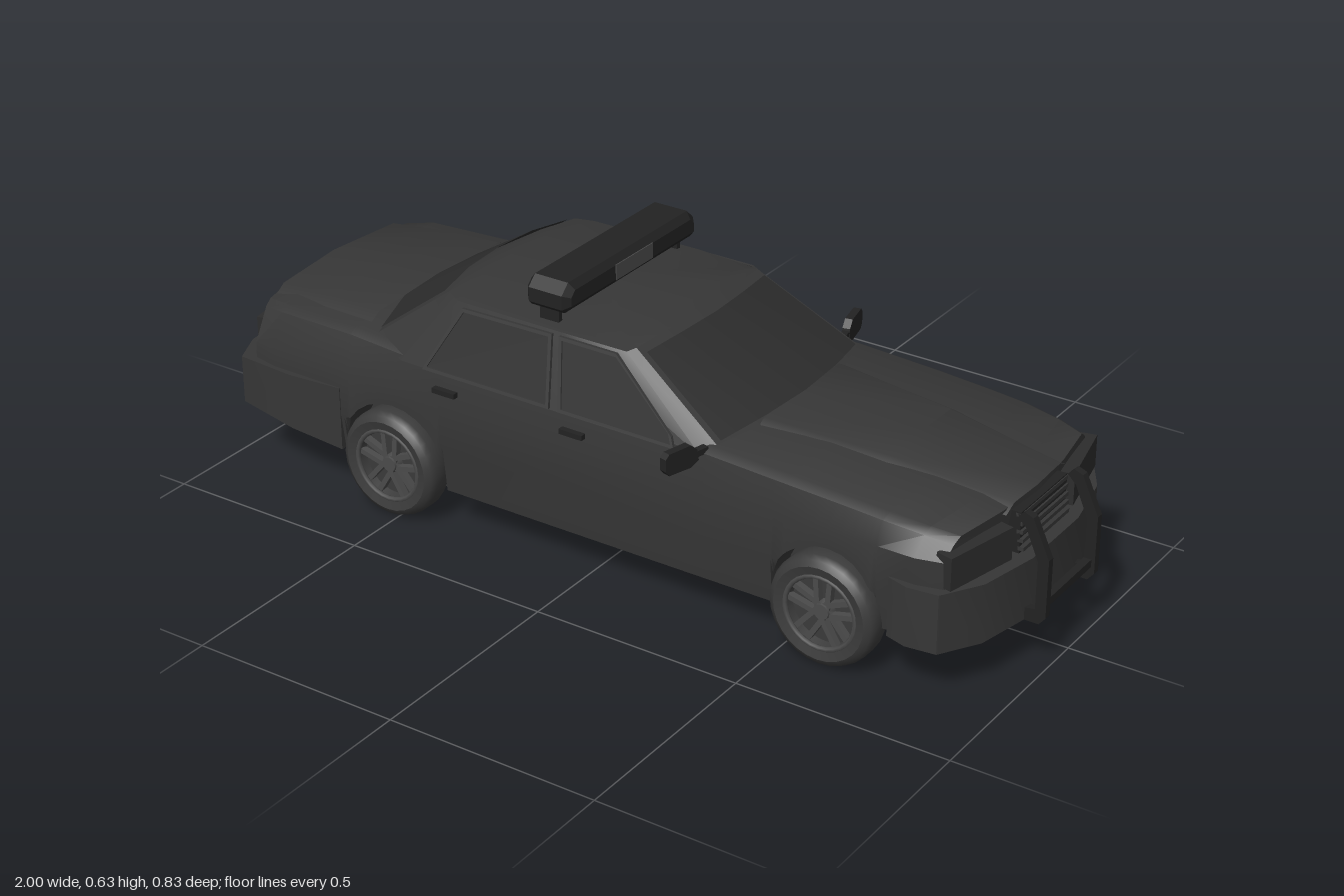
import * as THREE from 'three';
import { toCreasedNormals } from 'three/addons/utils/BufferGeometryUtils.js';

const mat = (color) => new THREE.MeshStandardMaterial({ color, side: THREE.DoubleSide });
const paint = mat(0x363636), glass = mat(0x2c2c2c), trim = mat(0x222222), rubber = mat(0x3a3a3a), metal = mat(0x4a4a4a);
const WHEEL_Y = 0.127, WHEEL_X = [-0.52, 0.605], ARCH = 0.14;

function add(parent, name, geo, material, x = 0, y = 0, z = 0) {
  const mesh = new THREE.Mesh(geo, material);
  mesh.name = name;
  mesh.position.set(x, y, z);
  parent.add(mesh);
  return mesh;
}
const box = (w, h, d) => new THREE.BoxGeometry(w, h, d);

// Surface through rows of [x, y, z] points; closed joins each row's ends
function loft(rows, closed = true, crease = 0.5) {
  const n = rows[0].length, index = [];
  for (let r = 0; r + 1 < rows.length; r++) {
    for (let i = 0; i < (closed ? n : n - 1); i++) {
      const j = (i + 1) % n, a = r * n + i, b = r * n + j;
      index.push(a, b, a + n, b, b + n, a + n);
    }
  }
  const geo = new THREE.BufferGeometry();
  geo.setAttribute('position', new THREE.Float32BufferAttribute(rows.flat(2), 3));
  geo.setIndex(index);
  return toCreasedNormals(geo, crease);
}
// Full ring from a half outline that starts and ends on z = 0
const ring = (half, s) => [
  ...half.map(([x, y, z]) => [x, y, z * s]),
  ...half.slice(1, -1).reverse().map(([x, y, z]) => [x, y, -z * s]),
];
const polygon = (pts) => new THREE.Shape(pts.map(([x, y]) => new THREE.Vector2(x, y)));

// Body stations: x, centre height, shoulder height, shoulder z, side z, floor height
const STATIONS = [
  [-0.965, 0.405, 0.38, 0.27, 0.315, 0.17], [-0.9, 0.415, 0.39, 0.29, 0.328, 0.155],
  [-0.65, 0.425, 0.395, 0.3, 0.33, 0.115], [-0.4, 0.41, 0.385, 0.31, 0.325, 0.09],
  [0.3, 0.41, 0.385, 0.31, 0.325, 0.09], [0.5, 0.405, 0.375, 0.31, 0.325, 0.09],
  [0.75, 0.385, 0.36, 0.305, 0.325, 0.115], [0.86, 0.372, 0.35, 0.295, 0.325, 0.12],
  [0.92, 0.36, 0.34, 0.28, 0.31, 0.125],
];
function station(x) {
  let i = 0;
  while (i < STATIONS.length - 2 && x > STATIONS[i + 1][0]) i++;
  const a = STATIONS[i], b = STATIONS[i + 1], t = (x - a[0]) / (b[0] - a[0]);
  return a.map((v, k) => v + (b[k] - v) * t);
}
// Rounds nose and tail in plan and leans them inwards at the top
function bow([x, y, z]) {
  const f = THREE.MathUtils.smoothstep(x, 0.6, 0.92), r = THREE.MathUtils.smoothstep(-x, 0.65, 0.965);
  const q = (z / 0.33) ** 2, lean = Math.max(0, y - 0.25);
  return [x - f * (0.055 * q + 0.12 * lean) + r * (0.045 * q + 0.1 * lean), y, z];
}
function bodyRow(x) {
  const [, yc, ys, zs, zb, floor] = station(x);
  let low = floor;
  for (const c of WHEEL_X) {
    if (Math.abs(x - c) < 0.1365) low = WHEEL_Y + Math.sqrt(ARCH ** 2 - (x - c) ** 2);
  }
  const half = [[0, yc], [0.13, yc - 0.003], [zs * 0.93, ys + 0.012], [zs, ys], [zb, 0.31],
    [zb, Math.max(0.2, low)], [zb - 0.012, low], [0.25, low], [0.25, floor], [0, floor]];
  return ring(half.map(([z, y]) => bow([x, y, z])), 1);
}
function body(g) {
  const xs = STATIONS.map((s) => s[0]);
  for (const c of WHEEL_X) {
    xs.push(c - 0.138, c + 0.138);
    for (let k = 0; k <= 12; k++) xs.push(c - 0.136 * Math.cos((k * Math.PI) / 12));
  }
  const rows = xs.sort((a, b) => a - b).map(bodyRow);
  const cap = (row) => row.map(() => [row[0][0], 0.27, 0]);
  add(g, 'body', loft([cap(rows[0]), ...rows, cap(rows.at(-1))]), paint);

  // Raised hood centre and boot lid
  const panel = (x0, x1, w0, w1, h) => loft([0, 0.5, 1].map((t) => {
    const x = x0 + (x1 - x0) * t, w = w0 + (w1 - w0) * t, y = station(x)[1];
    return [[-w - 0.03, -0.012], [-w, h], [0, h + 0.003], [w, h], [w + 0.03, -0.012]]
      .map(([z, dy]) => bow([x, y + dy, z]));
  }), false);
  add(g, 'hoodPanel', panel(0.34, 0.925, 0.15, 0.1, 0.005), paint);
  add(g, 'bootLid', panel(-0.96, -0.63, 0.2, 0.22, 0.004), paint);
}

// Bumper: plan outline extruded upwards, underside following a slope
function bumper(g, name, half, top, bottomAt) {
  const pts = [...half, ...half.slice().reverse().map(([x, z]) => [x, -z])];
  const geo = new THREE.ExtrudeGeometry(polygon(pts), { depth: 1, bevelEnabled: false }).rotateX(-Math.PI / 2);
  const p = geo.attributes.position;
  for (let i = 0; i < p.count; i++) p.setY(i, p.getY(i) > 0.5 ? top : bottomAt(p.getX(i)));
  add(g, name, toCreasedNormals(geo, 0.6), paint);
}

const CABIN_BASE = [[0.36, 0.405, 0], [0.35, 0.403, 0.15], [0.32, 0.39, 0.285], [0.29, 0.375, 0.312], [-0.1, 0.375, 0.314],
  [-0.5, 0.378, 0.312], [-0.6, 0.4, 0.275], [-0.635, 0.42, 0.14], [-0.64, 0.423, 0]];
const ROOF_EDGE = [[0.1, 0.549, 0], [0.092, 0.546, 0.12], [0.075, 0.537, 0.235], [0.06, 0.53, 0.25], [-0.1, 0.533, 0.257],
  [-0.38, 0.532, 0.255], [-0.42, 0.536, 0.235], [-0.435, 0.546, 0.12], [-0.44, 0.549, 0]];
const sideZ = (y) => 0.314 - (y - 0.375) * 0.363;

function cabin(g) {
  const inner = ROOF_EDGE.map(([x, y, z]) => [-0.17 + (x + 0.17) * 0.86, y + 0.006, z * 0.88]);
  const centre = inner.map(() => [-0.17, 0.557, 0]);
  add(g, 'cabin', loft([CABIN_BASE, ROOF_EDGE, inner, centre].map((h) => ring(h, -1))), paint);

  // Windscreen and rear window lie just proud of the cabin shell
  for (const [name, ids, push] of [['windscreen', [0, 1, 2], 0.005], ['rearWindow', [8, 7, 6], -0.005]]) {
    const rows = [0.06, 0.93].map((t) => {
      const half = ids.map((i) => CABIN_BASE[i].map((v, k) => v + (ROOF_EDGE[i][k] - v) * t))
        .map(([x, y, z]) => [x + push, y + 0.004, z * 0.96]);
      return [...half.slice(1).reverse().map(([x, y, z]) => [x, y, -z]), ...half];
    });
    if (push > 0) rows.reverse();
    add(g, name, loft(rows, false, 0.8), glass);
  }

  // Side windows with raised frames
  const windows = {
    frontDoorWindow: [[-0.065, 0.385], [0.215, 0.385], [0.205, 0.405], [0.045, 0.52], [-0.095, 0.52]],
    rearDoorWindow: [[-0.425, 0.385], [-0.105, 0.385], [-0.13, 0.52], [-0.355, 0.517]],
  };
  for (const [name, pts] of Object.entries(windows)) {
    const cx = pts.reduce((s, p) => s + p[0], 0) / pts.length;
    const frame = polygon(pts.map(([x, y]) => [cx + (x - cx) * 1.06, 0.452 + (y - 0.452) * 1.1]));
    frame.holes.push(polygon(pts));
    for (const [part, shape, depth, m] of [[name, polygon(pts), 0.003, glass], [name + 'Frame', frame, 0.007, paint]]) {
      const geo = new THREE.ExtrudeGeometry(shape, { depth, bevelEnabled: false });
      const p = geo.attributes.position;
      for (let i = 0; i < p.count; i++) p.setZ(i, p.getZ(i) + sideZ(p.getY(i)));
      geo.computeVertexNormals();
      for (const s of [1, -1]) add(g, part, geo, m).scale.z = s;
    }
  }
}

function wheel(g, x, z) {
  const w = new THREE.Group();
  w.name = 'wheel';
  w.position.set(x, WHEEL_Y, z);
  if (z < 0) w.rotation.y = Math.PI;
  const profile = [[0, -0.03], [0.08, -0.03], [0.088, -0.036], [0.108, -0.041], [0.121, -0.033], [0.127, -0.018],
    [0.127, 0.018], [0.121, 0.033], [0.108, 0.041], [0.088, 0.036], [0.08, 0.008], [0, 0.008]];
  const tyre = new THREE.LatheGeometry(profile.map(([r, y]) => new THREE.Vector2(r, y)), 28).rotateX(Math.PI / 2);
  add(w, 'tyre', toCreasedNormals(tyre, 0.7), rubber);
  add(w, 'rim', new THREE.TorusGeometry(0.084, 0.006, 6, 28), metal, 0, 0, 0.033);
  add(w, 'hub', new THREE.CylinderGeometry(0.018, 0.024, 0.026, 12).rotateX(Math.PI / 2), metal, 0, 0, 0.017);
  for (let i = 0; i < 5; i++) {
    for (const s of [-1, 1]) {
      const spoke = add(w, 'spoke', box(0.012, 0.076, 0.016).translate(s * 0.011, 0.045, 0), metal, 0, 0, 0.018);
      spoke.rotation.z = (i * Math.PI * 2) / 5 - s * 0.08;
    }
  }
  g.add(w);
}

function lightBar(g) {
  const half = [[0.24, 0.567], [0.25, 0.577], [0.25, 0.61], [0.226, 0.633]];
  const pts = [...half, ...half.slice().reverse().map(([z, y]) => [-z, y])];
  const geo = new THREE.ExtrudeGeometry(polygon(pts),
    { depth: 0.086, bevelSize: 0.016, bevelOffset: -0.016, bevelThickness: 0.014, bevelSegments: 1 });
  add(g, 'lightBar', toCreasedNormals(geo.translate(0, 0, -0.043).rotateY(Math.PI / 2), 0.3), trim, -0.153, 0, -0.005);
  add(g, 'lightBarCentre', box(0.117, 0.036, 0.14), metal, -0.153, 0.6, -0.005);
  for (const s of [-1, 1]) add(g, 'lightBarFoot', box(0.05, 0.05, 0.012), trim, -0.153, 0.55, s * 0.225);
}

function pushBar(g) {
  const side = polygon([[0.925, 0.345], [0.94, 0.36], [0.96, 0.352], [1, 0.265], [1, 0.13], [0.985, 0.112],
    [0.94, 0.112], [0.94, 0.14], [0.975, 0.145], [0.975, 0.255], [0.945, 0.325]]);
  const geo = new THREE.ExtrudeGeometry(side, { depth: 0.018, bevelEnabled: false });
  for (const s of [-1, 1]) add(g, 'pushBarUpright', geo, trim, 0, 0, s * 0.108 - 0.009);
  add(g, 'pushBarCrossbar', box(0.018, 0.018, 0.21), trim, 0.983, 0.153, 0);
}

export function createModel() {
  const g = new THREE.Group();
  g.name = 'patrolCar';
  body(g);
  cabin(g);
  bumper(g, 'frontBumper', [[0.75, 0.328], [0.8, 0.343], [0.87, 0.335], [0.925, 0.245], [0.955, 0.1]], 0.25, () => 0.112);
  bumper(g, 'rearBumper', [[-0.665, 0.332], [-0.8, 0.343], [-0.95, 0.332], [-0.988, 0.25], [-1, 0.1]], 0.27,
    (x) => 0.115 + (-0.66 - x) * 0.14);
  for (const x of WHEEL_X) for (const z of [0.316, -0.298]) wheel(g, x, z);
  lightBar(g);
  pushBar(g);

  // Grille
  add(g, 'grille', box(0.03, 0.095, 0.2), trim, 0.908, 0.298, 0);
  for (let i = 0; i < 5; i++) add(g, 'grilleBar', box(0.014, 0.009, 0.2), paint, 0.926 - i * 0.002, 0.262 + i * 0.019, 0);

  for (const s of [-1, 1]) {
    add(g, 'headlight', box(0.04, 0.075, 0.185), glass, 0.885, 0.291, s * 0.22).rotation.y = -s * 0.22;
    add(g, 'tailLight', box(0.02, 0.06, 0.15), glass, -0.941, 0.325, s * 0.21).rotation.y = s * 0.17;
    for (const x of [-0.37, -0.03]) add(g, 'doorHandle', box(0.06, 0.012, 0.014), trim, x, 0.342, s * 0.326);
    // Door mirror on a short arm
    const mirror = new THREE.Group();
    mirror.name = 'mirror';
    mirror.position.set(s > 0 ? 0.285 : 0.255, 0.39, s * 0.315);
    mirror.rotation.y = -0.24 * s + (s < 0 ? -0.02 : 0);
    mirror.scale.z = s;
    const shape = polygon([[0.008, -0.014], [0.03, -0.024], [0.09, -0.022], [0.1, -0.01], [0.1, 0.018], [0.09, 0.028], [0.03, 0.028], [0.012, 0.012]]);
    const geo = new THREE.ExtrudeGeometry(shape, { depth: 0.018, bevelEnabled: false });
    add(mirror, 'mirrorHousing', geo.translate(0, 0, -0.009).rotateY(-Math.PI / 2), trim);
    add(mirror, 'mirrorArm', box(0.016, 0.014, 0.04), trim);
    g.add(mirror);
  }
  return g;
}
